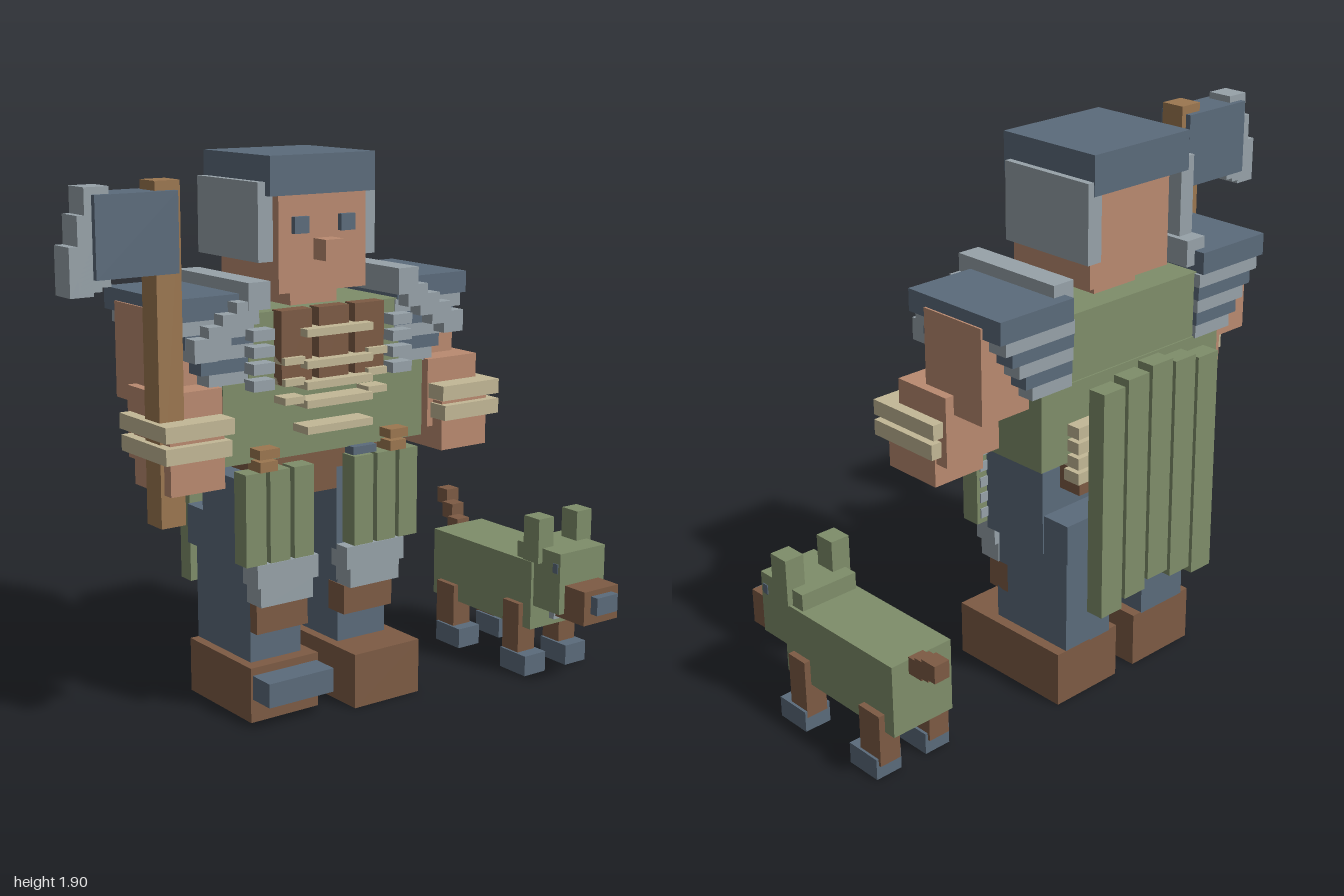
import * as THREE from 'three';

const material = (name, color) => {
  const m = new THREE.MeshStandardMaterial({ color });
  m.name = name;
  return m;
};

export function createModel() {
  const steel = material('steel blue', 0x5b6b7b);
  const silver = material('silver grey', 0x97a2a9);
  const green = material('moss green', 0x7f8e6a);
  const skin = material('skin', 0xba8a70);
  const leather = material('leather brown', 0x7d5b44);
  const bone = material('bone', 0xc3b896);
  const wood = material('wood', 0x9c7750);

  const model = new THREE.Group();
  model.name = 'warriorAndDog';
  const group = (name) => {
    const g = new THREE.Group();
    g.name = name;
    model.add(g);
    return g;
  };
  // Box given by its extents on each axis
  const box = (parent, name, mat, x0, x1, y0, y1, z0, z1) => {
    const mesh = new THREE.Mesh(new THREE.BoxGeometry(x1 - x0, y1 - y0, z1 - z0), mat);
    mesh.position.set((x0 + x1) / 2, (y0 + y1) / 2, (z0 + z1) / 2);
    mesh.name = name;
    parent.add(mesh);
  };
  // Pair of boxes mirrored about the plane x = mid
  const pair = (mid, parent, name, mat, x0, x1, ...rest) => {
    box(parent, name + 'Left', mat, x0, x1, ...rest);
    box(parent, name + 'Right', mat, 2 * mid - x1, 2 * mid - x0, ...rest);
  };
  const MID = -0.035;
  const both = (...args) => pair(MID, ...args);

  // Head and helmet
  const head = group('head');
  box(head, 'face', skin, -0.21, 0.145, 1.45, 1.78, -0.335, 0.01);
  box(head, 'neck', skin, -0.13, 0.06, 1.38, 1.46, -0.27, -0.04);
  box(head, 'nose', skin, -0.07, 0.005, 1.555, 1.625, 0, 0.08);
  both(head, 'eye', steel, 0.03, 0.088, 1.645, 1.7, 0, 0.03);
  box(head, 'helmet', steel, -0.245, 0.18, 1.77, 1.9, -0.385, 0.015);
  both(head, 'helmetCheek', silver, 0.145, 0.203, 1.555, 1.815, -0.382, -0.015);

  // Torso
  const torso = group('torso');
  box(torso, 'chest', green, -0.345, 0.275, 1.16, 1.4, -0.355, 0.03);
  box(torso, 'waist', green, -0.445, 0.38, 0.905, 1.175, -0.36, 0.03);
  box(torso, 'pelvis', leather, -0.265, 0.2, 0.76, 0.91, -0.35, 0.01);
  for (const x of [-0.245, -0.095, 0.053]) box(torso, 'chestPlate', leather, x, x + 0.122, 1.16, 1.405, 0.02, 0.075);
  // Rib bars, some with raised ends
  for (const [y, ends] of [[1.33, 0], [1.225, 1], [1.155, 1], [1.093, 1], [1.005, 0]]) {
    box(torso, 'ribBar', bone, -0.17, 0.1, y - 0.013, y + 0.013, 0.02, 0.115);
    if (ends) both(torso, 'ribEnd', bone, 0.095, 0.175, y + 0.003, y + 0.027, 0.02, 0.095);
  }
  for (let i = 0; i < 4; i++) {
    const y = 1.335 - i * 0.055;
    both(torso, 'chestLoop', silver, 0.208, 0.29, y - 0.018, y + 0.018, 0.02, 0.085);
    const b = 1.0 - i * 0.053;
    both(torso, 'backBar', bone, 0.057, 0.265, b, b + 0.04, -0.41, -0.345);
  }
  box(torso, 'buckle', steel, 0.06, 0.158, 0.88, 0.908, 0, 0.06);
  both(torso, 'pouchFlap', wood, 0.195, 0.273, 0.925, 0.957, 0.01, 0.09);
  both(torso, 'pouch', wood, 0.2, 0.268, 0.88, 0.915, 0.01, 0.085);

  // Cape of five slats
  const cape = group('cape');
  for (let i = 0; i < 5; i++) {
    const x = -0.3 + i * 0.11, rise = 2 - Math.abs(i - 2);
    box(cape, 'capeSlat', green, x, x + 0.095, 0.375 + rise * 0.03, 1.17 + rise * 0.0175, -0.49, -0.425);
  }

  // Layered shoulder guards
  const guards = group('shoulderGuards');
  both(guards, 'guardCap', steel, 0.265, 0.57, 1.395, 1.47, -0.385, 0.035);
  for (let i = 0; i < 5; i++) {
    const y = 1.35 - i * 0.045;
    both(guards, 'guardLayer', i % 2 ? steel : silver, 0.255, 0.545 - i * 0.03, y, y + 0.045, -0.38 + i * 0.003, 0.035 - i * 0.002);
  }
  both(guards, 'shoulderRidge', silver, 0.227, 0.312, 1.42, 1.51, -0.345, 0.09);
  for (let i = 0; i < 4; i++) {
    const x = 0.27 + i * 0.053, y = 1.375 - i * 0.035;
    both(guards, 'guardStep', silver, x, x + 0.085, y, y + 0.075, 0.03, 0.088);
  }

  // Arms
  const arms = group('arms');
  both(arms, 'upperArm', skin, 0.37, 0.577, 1.11, 1.43, -0.305, -0.045);
  both(arms, 'forearm', skin, 0.39, 0.61, 0.935, 1.175, -0.175, 0.05);
  both(arms, 'hand', skin, 0.415, 0.617, 0.855, 1.03, -0.125, 0.1);
  both(arms, 'wristBandUpper', bone, 0.395, 0.65, 1.038, 1.09, -0.16, 0.13);
  both(arms, 'wristBandLower', bone, 0.405, 0.65, 0.967, 1.02, -0.15, 0.13);

  // Axe
  const axe = group('axe');
  box(axe, 'shaft', wood, -0.7, -0.61, 0.745, 1.845, -0.03, 0.06);
  box(axe, 'axeHead', steel, -0.92, -0.63, 1.56, 1.815, -0.05, 0.083);
  for (const [x0, x1, y0, y1] of [[-0.945, -0.86, 1.535, 1.838], [-0.97, -0.89, 1.522, 1.755], [-1, -0.92, 1.51, 1.663]])
    box(axe, 'blade', silver, x0, x1, y0, y1, -0.03, 0.064);

  // Legs and skirt
  const legs = group('legs');
  both(legs, 'thigh', steel, 0.025, 0.278, 0.54, 0.835, -0.26, 0.01);
  both(legs, 'hamstring', steel, 0.03, 0.273, 0.54, 0.68, -0.37, -0.2);
  both(legs, 'shin', steel, 0.045, 0.252, 0.19, 0.545, -0.345, -0.01);
  both(legs, 'shinWrap', leather, 0.042, 0.252, 0.305, 0.41, -0.06, 0.03);
  both(legs, 'kneeGuard', silver, 0.025, 0.273, 0.48, 0.56, -0.02, 0.07);
  both(legs, 'shinGuard', silver, 0.045, 0.257, 0.41, 0.48, -0.02, 0.065);
  for (const x of [0.05, 0.147, 0.243]) both(legs, 'skirtSlat', green, x, x + 0.08, 0.565, 0.88, 0.01, 0.08);
  for (let i = 0; i < 5; i++) {
    const y = 0.585 + i * 0.058;
    both(legs, 'skirtRung', silver, 0.06, 0.31, y, y + 0.035, 0.005, 0.045);
  }
  box(legs, 'bootLeft', leather, 0.01, 0.29, 0, 0.195, -0.345, 0.14);
  box(legs, 'bootRight', leather, -0.355, -0.077, 0, 0.195, -0.345, 0.04);
  box(legs, 'toeCapRight', steel, -0.347, -0.082, 0.083, 0.168, 0, 0.14);

  // Dog
  const dog = group('dog');
  const dogPair = (...args) => pair(0.846, dog, ...args);
  box(dog, 'dogBody', green, 0.725, 0.965, 0.17, 0.425, -0.305, 0.245);
  box(dog, 'dogHead', green, 0.737, 0.955, 0.26, 0.485, 0.155, 0.38);
  dogPair('dogEar', green, 0.903, 0.975, 0.43, 0.595, 0.208, 0.287);
  dogPair('dogEye', steel, 0.945, 0.958, 0.41, 0.445, 0.345, 0.37);
  box(dog, 'muzzle', leather, 0.763, 0.928, 0.24, 0.365, 0.335, 0.48);
  box(dog, 'dogNose', steel, 0.795, 0.895, 0.28, 0.345, 0.46, 0.512);
  box(dog, 'collarTag', silver, 0.818, 0.876, 0.197, 0.262, 0.23, 0.27);
  for (const [z0, z1, top, p0, p1] of [[0.12, 0.205, 0.26, 0.12, 0.255], [-0.26, -0.16, 0.235, -0.25, -0.115]]) {
    dogPair('dogLeg', leather, 0.907, 0.988, 0.05, top, z0, z1);
    dogPair('dogPaw', steel, 0.897, 0.997, 0, 0.075, p0, p1);
  }
  // Tail cubes
  for (let i = 0; i < 3; i++) {
    const x = 0.844 + i * 0.031, y = 0.38 + i * 0.04, z = -0.37 - i * 0.069;
    box(dog, 'tailCube', leather, x, x + 0.058, y, y + 0.06, z, z + 0.06);
  }
  return model;
}
